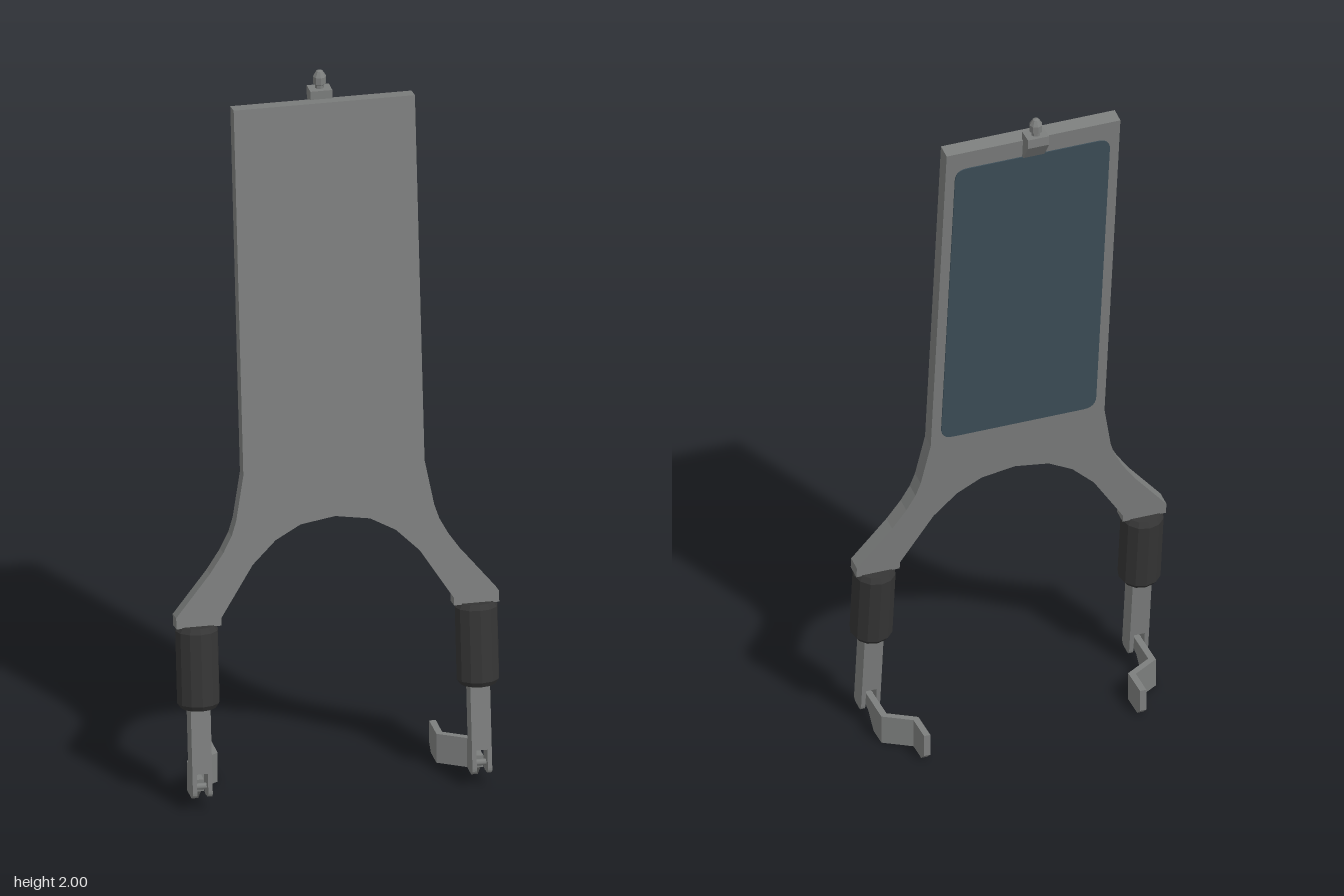
import * as THREE from 'three';

const mat = (name, color) => {
  const m = new THREE.MeshStandardMaterial({ color });
  m.name = name;
  return m;
};

export function createModel() {
  const grey = mat('metal grey', 0x7c7e7d);
  const rubber = mat('rubber black', 0x353535);
  const blue = mat('panel blue', 0x3d4e58);
  const model = new THREE.Group();
  model.name = 'stand';

  const add = (parent, name, geometry, material, x = 0, y = 0, z = 0) => {
    const mesh = new THREE.Mesh(geometry, material);
    mesh.name = name;
    mesh.position.set(x, y, z);
    parent.add(mesh);
    return mesh;
  };
  const flat = (geometry) => {
    const g = geometry.index ? geometry.toNonIndexed() : geometry;
    g.computeVertexNormals();
    return g;
  };

  // Everything except hooks and top clip leans backwards
  const frame = new THREE.Group();
  frame.name = 'leaningFrame';
  frame.rotation.x = -0.12;
  frame.position.z = 0.135;
  model.add(frame);

  // Back plate with arched, splayed lower end
  const half = [
    [0.247, 1.941], [0.247, 0.925], [0.27, 0.80], [0.283, 0.76], [0.307, 0.715],
    [0.345, 0.66], [0.44, 0.545], [0.44, 0.514], [0.317, 0.514], [0.317, 0.535],
    [0.228, 0.675], [0.164, 0.738], [0.095, 0.776],
  ];
  const outline = [...half, [0, 0.791], ...half.map(([x, y]) => [-x, y]).reverse()];
  const plateShape = new THREE.Shape(outline.map(([x, y]) => new THREE.Vector2(x, y)));
  const T = 0.044;
  add(frame, 'backPlate', new THREE.ExtrudeGeometry(plateShape, { depth: T, bevelEnabled: false }),
    grey, 0, 0, -T / 2);

  // Rounded panel on the rear face
  const w = 0.22, y0 = 0.945, y1 = 1.885, r = 0.035;
  const p = new THREE.Shape();
  p.moveTo(-w + r, y0);
  p.lineTo(w - r, y0);
  p.quadraticCurveTo(w, y0, w, y0 + r);
  p.lineTo(w, y1 - r);
  p.quadraticCurveTo(w, y1, w - r, y1);
  p.lineTo(-w + r, y1);
  p.quadraticCurveTo(-w, y1, -w, y1 - r);
  p.lineTo(-w, y0 + r);
  p.quadraticCurveTo(-w, y0, -w + r, y0);
  add(frame, 'rearPanel',
    new THREE.ExtrudeGeometry(p, { depth: 0.004, bevelEnabled: false, curveSegments: 6 }),
    blue, 0, 0, -T / 2 - 0.003);

  // Grip sleeve profile
  const sleeve = [[0, 0.288], [0.048, 0.288], [0.058, 0.302], [0.058, 0.503], [0.048, 0.517], [0, 0.517]]
    .map(([x, y]) => new THREE.Vector2(x, y));

  // Bent strip hook: [x, z, bottom y]
  const path = [
    [0.381, 0.125, 0.05], [0.381, 0.095, 0.04], [0.381, 0.055, 0], [0.381, 0, 0],
    [0.307, -0.046, 0], [0.307, -0.11, 0], [0.307, -0.132, 0.02],
  ];
  const hookGeometry = (s) => {
    const top = 0.084, h = 0.009;
    const dir = (i) => new THREE.Vector2(path[i + 1][0] - path[i][0], path[i + 1][1] - path[i][1]).normalize();
    const n = path.length, pos = [], idx = [];
    path.forEach(([x, z, yb], i) => {
      const a = dir(Math.max(i - 1, 0)), b = dir(Math.min(i, n - 2));
      const t = a.clone().add(b).normalize();
      const k = h / t.dot(a);
      const nx = -t.y * k, nz = t.x * k;
      [[-1, yb], [1, yb], [1, top], [-1, top]].forEach(([e, y]) => pos.push(s * (x + e * nx), y, z + e * nz));
    });
    const quad = (a, b, c, d) => (s > 0 ? idx.push(a, b, c, a, c, d) : idx.push(a, c, b, a, d, c));
    for (let i = 0; i < n - 1; i++) {
      for (let j = 0; j < 4; j++) {
        const k = (j + 1) % 4;
        quad(i * 4 + j, i * 4 + 4 + j, i * 4 + 4 + k, i * 4 + k);
      }
    }
    const e = (n - 1) * 4;
    quad(0, 1, 2, 3);
    quad(e + 3, e + 2, e + 1, e);
    const g = new THREE.BufferGeometry();
    g.setAttribute('position', new THREE.Float32BufferAttribute(pos, 3));
    g.setIndex(idx);
    return flat(g);
  };

  // Side outline of a fork prong with rounded foot
  const prong = new THREE.Shape();
  const d = 0.027;
  prong.moveTo(-d, 0.107);
  prong.lineTo(-d, 0.055);
  prong.quadraticCurveTo(-d, 0.04, -d + 0.015, 0.04);
  prong.lineTo(d - 0.015, 0.04);
  prong.quadraticCurveTo(d, 0.04, d, 0.055);
  prong.lineTo(d, 0.107);
  const prongGeometry = new THREE.ExtrudeGeometry(prong, { depth: 0.012, bevelEnabled: false, curveSegments: 4 });
  prongGeometry.translate(0, 0, -0.006).rotateY(Math.PI / 2);

  for (const [side, s] of [['left', 1], ['right', -1]]) {
    const x = s * 0.381;
    add(frame, side + 'Sleeve', flat(new THREE.LatheGeometry(sleeve, 12)), rubber, x);
    add(frame, side + 'Leg', new THREE.BoxGeometry(0.054, 0.195, 0.054), grey, x, 0.2045, 0);
    for (const e of [-1, 1]) add(frame, side + 'Prong', prongGeometry, grey, x + e * 0.021, 0, 0);
    const pin = new THREE.CylinderGeometry(0.009, 0.009, 0.052, 8).rotateZ(Math.PI / 2);
    add(frame, side + 'HingePin', pin, grey, x, 0.066, 0);
    add(model, side + 'Hook', hookGeometry(s), grey);
  }

  // Wedge bracket and stud at the top
  const wedge = new THREE.Shape([[0.112, 1.949], [0.112, 1.87], [0.122, 1.87], [0.158, 1.922], [0.158, 1.949]]
    .map(([x, y]) => new THREE.Vector2(x, y)));
  const wedgeGeometry = new THREE.ExtrudeGeometry(wedge, { depth: 0.06, bevelEnabled: false });
  wedgeGeometry.translate(0, 0, -0.03).rotateY(Math.PI / 2);
  add(model, 'topBracket', wedgeGeometry, grey);
  const stud = [[0.012, 1.945], [0.012, 1.958], [0.018, 1.962], [0.018, 1.982], [0.009, 1.997], [0, 2]]
    .map(([x, y]) => new THREE.Vector2(x, y));
  add(model, 'topStud', flat(new THREE.LatheGeometry(stud, 8)), grey, 0, 0, -0.137);

  return model;
}
